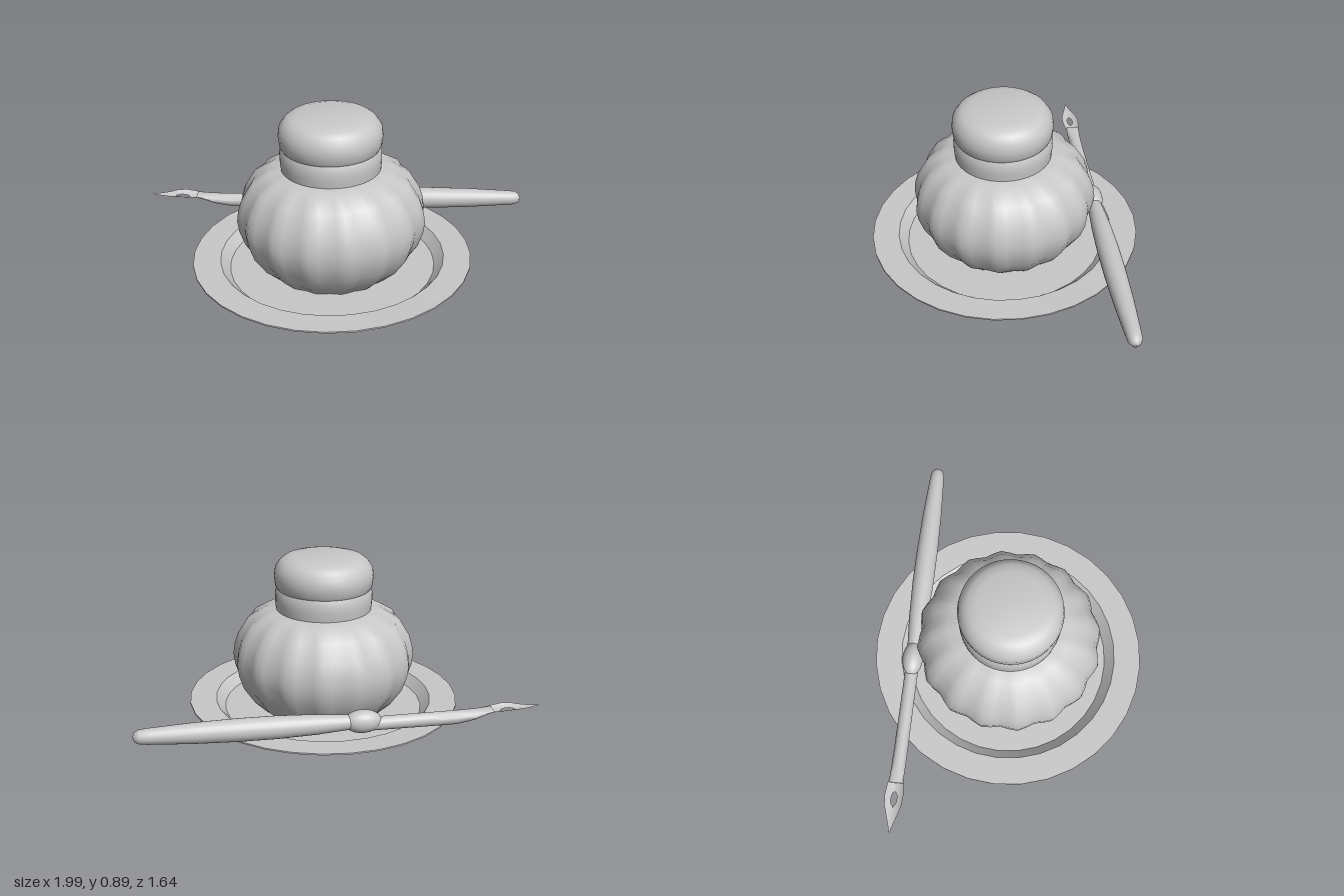
import * as THREE from 'three';
import { toCreasedNormals } from 'three/addons/utils/BufferGeometryUtils.js';

const CENTER = [-0.2, 0, 0.065]; // axis of the saucer and pot
const clay = new THREE.MeshStandardMaterial({ color: 0xc8c8c8 });
clay.name = 'pale grey';
const nibMaterial = clay.clone();
nibMaterial.name = 'pale grey thin';
nibMaterial.side = THREE.DoubleSide;

function addMesh(parent, name, geometry, material = clay) {
  const mesh = new THREE.Mesh(geometry, material);
  mesh.name = name;
  parent.add(mesh);
  return mesh;
}

const lathe = (points, segments) =>
  new THREE.LatheGeometry(points.map(([r, y]) => new THREE.Vector2(r, y)), segments);

// Apply a rule to every vertex, then recompute the normals
function moveVertices(geometry, rule) {
  const pos = geometry.attributes.position;
  const v = new THREE.Vector3();
  for (let i = 0; i < pos.count; i++) {
    rule(v.fromBufferAttribute(pos, i));
    pos.setXYZ(i, v.x, v.y, v.z);
  }
  geometry.computeVertexNormals();
  return geometry;
}

// Piecewise-linear lookup in a short list of [position, value] pairs
function lookup(table, t) {
  for (let i = 1; i < table.length; i++) {
    const [a, va] = table[i - 1], [b, vb] = table[i];
    if (t <= b) return va + (vb - va) * Math.max(0, (t - a) / (b - a));
  }
  return table[table.length - 1][1];
}

function createInkwell() {
  const group = new THREE.Group();
  group.name = 'inkwell';
  group.position.set(...CENTER);

  // Saucer with a sunken floor and a flat rim
  addMesh(group, 'saucer', toCreasedNormals(lathe([
    [0, 0], [0.54, 0], [0.6, 0.068], [0.745, 0.072], [0.745, 0.08],
    [0.6, 0.077], [0.55, 0.025], [0, 0.025],
  ], 32), 0.6));

  // Fluted pot body with sixteen lobes, ridges straddling the front
  const body = moveVertices(lathe([
    [0, 0.02], [0.33, 0.02], [0.4, 0.085], [0.465, 0.18], [0.492, 0.26], [0.5, 0.32],
    [0.492, 0.38], [0.473, 0.44], [0.415, 0.535], [0.325, 0.588], [0.25, 0.6],
  ], 64), (v) => {
    const angle = Math.atan2(v.x, v.z);
    const amount = 0.045 * Math.min(1, Math.max(0, (Math.hypot(v.x, v.z) - 0.25) / 0.1));
    const scale = 1 - amount * (0.5 + 0.5 * Math.cos(16 * angle));
    v.x *= scale;
    v.z *= scale;
  });
  addMesh(group, 'potBody', toCreasedNormals(body, 0.75));

  // Neck and rounded stopper, with a groove between them
  addMesh(group, 'neck', toCreasedNormals(lathe([
    [0.258, 0.58], [0.263, 0.62], [0.265, 0.65], [0.265, 0.69], [0.255, 0.715], [0, 0.715],
  ], 40), 0.7));
  addMesh(group, 'stopper', toCreasedNormals(lathe([
    [0, 0.71], [0.253, 0.712], [0.264, 0.73], [0.27, 0.78], [0.264, 0.825],
    [0.24, 0.86], [0.215, 0.878], [0.17, 0.89], [0, 0.892],
  ], 40), 0.8));
  return group;
}

// Dip pen, built along x with the knob at its origin
function createPen() {
  const pen = new THREE.Group();
  pen.name = 'pen';
  pen.position.set(-0.1, 0.143, -0.46);
  pen.rotation.y = -0.39;

  const handle = lathe([
    [0, 0], [0.036, 0.02], [0.04, 0.08], [0.053, 0.25], [0.06, 0.45], [0.06, 0.65],
    [0.054, 0.88], [0.042, 1.1], [0.038, 1.145], [0.026, 1.17], [0, 1.18],
  ], 24);
  handle.rotateZ(-Math.PI / 2);
  addMesh(pen, 'handle', handle).rotation.z = 0.006;

  const knob = addMesh(pen, 'knob', new THREE.SphereGeometry(1, 24, 16));
  knob.scale.set(0.1, 0.062, 0.057);

  // Ferrule: a tube whose underside sweeps up into the nib
  const ferrule = new THREE.CylinderGeometry(0.038, 0.036, 0.66, 20, 14);
  ferrule.rotateZ(Math.PI / 2);
  ferrule.translate(-0.37, -0.018, 0);
  moveVertices(ferrule, (v) => {
    const top = 0.02;
    const squash = lookup([[0.05, 1], [0.5, 1], [0.6, 0.75], [0.7, 0.15]], -v.x);
    v.y = top - (top - v.y) * squash;
  });
  addMesh(pen, 'ferrule', toCreasedNormals(ferrule, 0.8));

  // Nib: two mirrored halves of a shallow trough, parted by the eyelet
  const width = [[0.66, 0.036], [0.72, 0.045], [0.77, 0.05], [0.82, 0.045],
    [0.87, 0.03], [0.92, 0.014], [0.967, 0]];
  const keel = [[0.66, 0], [0.74, 0.001], [0.85, 0.007], [0.967, 0.018]];
  for (const side of [1, -1]) {
    const half = moveVertices(new THREE.PlaneGeometry(1, 1, 36, 4), (v) => {
      const d = 0.66 + 0.307 * (v.x + 0.5);
      const across = v.y + 0.5;
      const w = lookup(width, d);
      const eye = 0.016 * Math.sqrt(Math.max(0, 1 - ((d - 0.785) / 0.038) ** 2));
      const z = eye + (w - eye) * across;
      v.set(-d, lookup(keel, d) + 8 * z * z, side * z);
    });
    addMesh(pen, side > 0 ? 'nibFrontHalf' : 'nibBackHalf', half, nibMaterial);
  }
  return pen;
}

export function createModel() {
  const model = new THREE.Group();
  model.name = 'inkwellWithPen';
  model.add(createInkwell(), createPen());
  return model;
}
